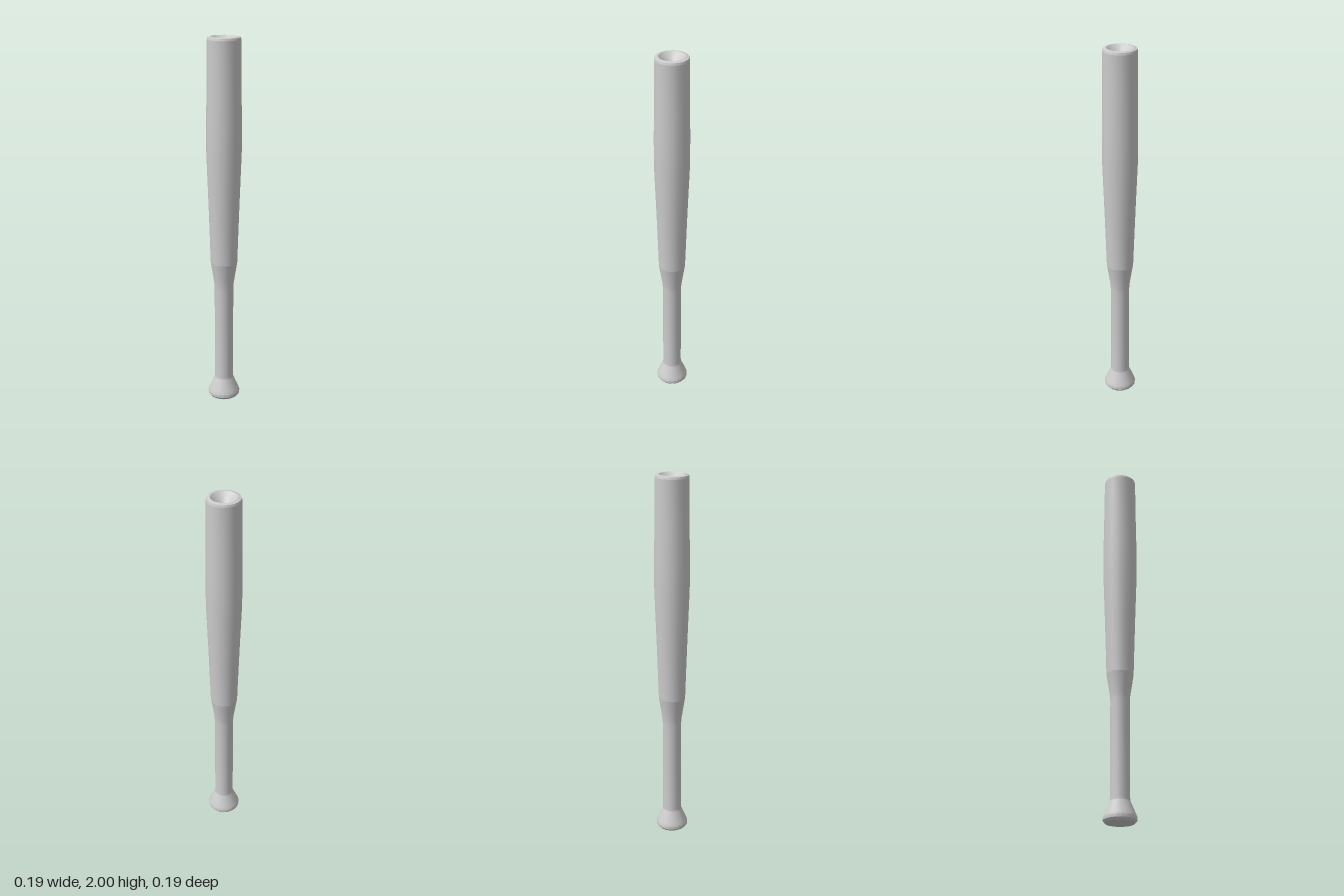
import * as THREE from 'three';
import { toCreasedNormals } from 'three/addons/utils/BufferGeometryUtils.js';

const SIDES = 20;
const material = new THREE.MeshStandardMaterial({ color: 0xcccccc });

// Turn a [radius, height] profile around the y axis, keeping hard edges sharp.
function turned(name, profile) {
  const points = profile.map(([r, y]) => new THREE.Vector2(r, y));
  const lathe = new THREE.LatheGeometry(points, SIDES);
  // Creasing compares positions coarsely, so it is done at a larger scale.
  lathe.scale(100, 100, 100);
  const geometry = toCreasedNormals(lathe, Math.PI / 6);
  geometry.scale(0.01, 0.01, 0.01);
  const mesh = new THREE.Mesh(geometry, material);
  mesh.name = name;
  return mesh;
}

export function createModel() {
  const bat = new THREE.Group();
  bat.name = 'bat';

  // Flared knob with a bevelled flat base
  bat.add(turned('knob', [
    [0, 0], [0.076, 0], [0.086, 0.012], [0.087, 0.028], [0.08, 0.045], [0.052, 0.11],
  ]));

  // Straight grip, then the shoulder that widens into the barrel
  bat.add(turned('handle', [
    [0.052, 0.11], [0.051, 0.13], [0.051, 0.64], [0.053, 0.67], [0.072, 0.79],
  ]));

  // Long, gently swelling barrel
  bat.add(turned('barrel', [
    [0.072, 0.79], [0.076, 0.92], [0.083, 1.13], [0.093, 1.4], [0.093, 1.55],
    [0.09, 1.75], [0.088, 1.985],
  ]));

  // Rounded rim and the conical hollow in the end
  bat.add(turned('cuppedEnd', [
    [0.088, 1.985], [0.085, 1.996], [0.068, 2], [0.016, 1.95], [0, 1.95],
  ]));

  return bat;
}
